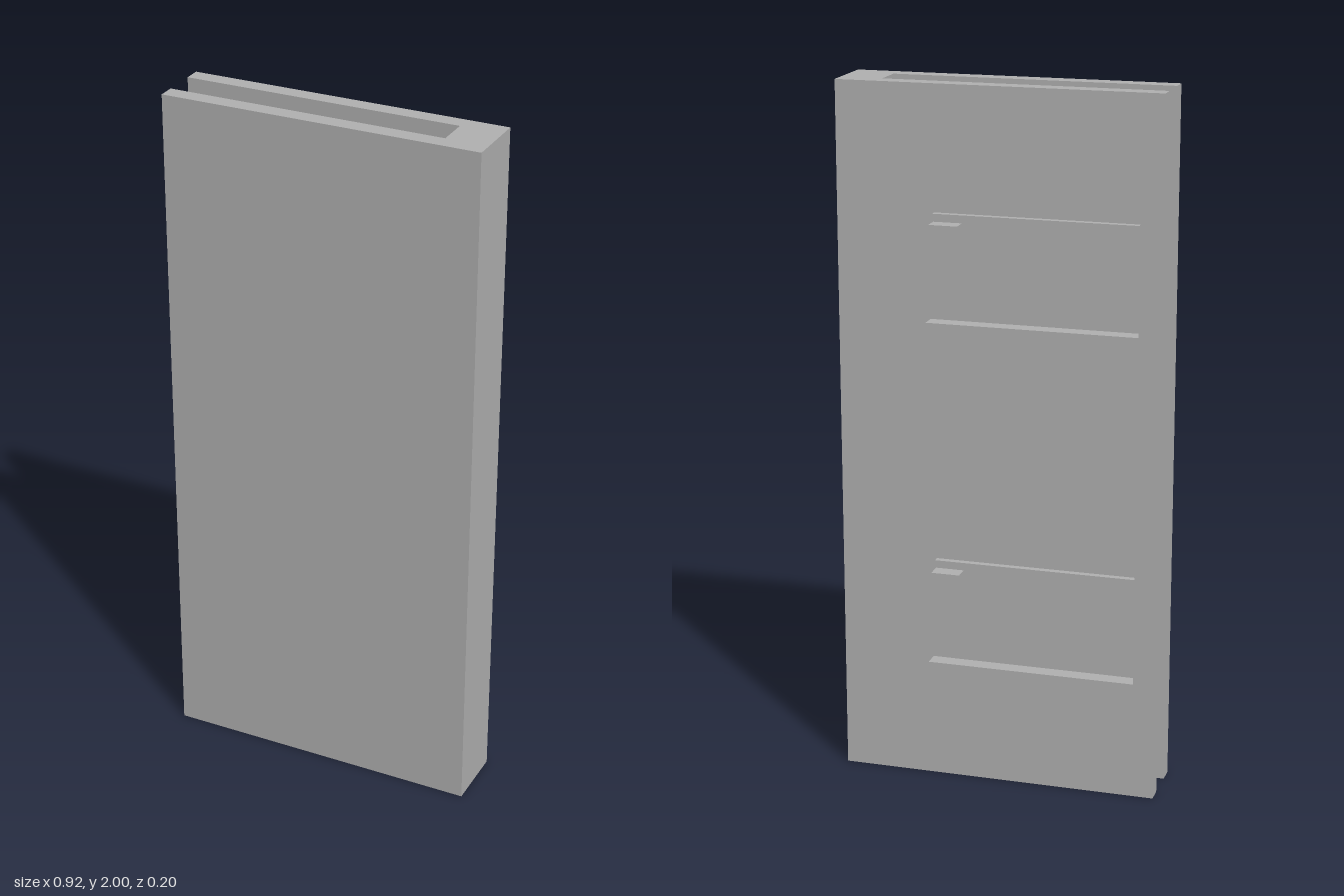
import * as THREE from 'three';
import { toCreasedNormals } from 'three/addons/utils/BufferGeometryUtils.js';
import { ConvexGeometry } from 'three/addons/geometries/ConvexGeometry.js';

const W = 0.458;                          // half width
const BACK = -0.086, BACK_IN = -0.039;    // back plate faces
const FRONT_IN = 0.054, FRONT = 0.102;    // front plate faces
const CLIPS = [0.5, 1.5];                 // clip heights

export function createModel() {
  const model = new THREE.Group();
  const grey = new THREE.MeshStandardMaterial({ color: 0xb2b2b2 });
  grey.name = 'grey plastic';

  const add = (name, geometry, parent = model) => {
    const mesh = new THREE.Mesh(geometry, grey);
    mesh.name = name;
    parent.add(mesh);
    return mesh;
  };
  // Box given by its limits on each axis
  const box = (name, x0, x1, y0, y1, z0, z1, parent) =>
    add(name, new THREE.BoxGeometry(x1 - x0, y1 - y0, z1 - z0), parent)
      .position.set((x0 + x1) / 2, (y0 + y1) / 2, (z0 + z1) / 2);
  const rect = (path, x0, x1, y0, y1) =>
    path.moveTo(x0, y0).lineTo(x1, y0).lineTo(x1, y1).lineTo(x0, y1).closePath();

  // U-shaped channel: front plate, closed end, back plate with windows
  box('frontPlate', -W, W, 0, 2, FRONT_IN, FRONT);
  box('closedEnd', 0.338, W, 0, 2, BACK_IN, FRONT_IN);
  const plate = new THREE.Shape();
  rect(plate, -W, W, 0, 2);
  for (const y of CLIPS) {
    const hole = new THREE.Path();
    rect(hole, -0.396, 0.206, y - 0.16, y + 0.16);
    plate.holes.push(hole);
  }
  add('backPlate', new THREE.ExtrudeGeometry(plate, { depth: BACK_IN - BACK, bevelEnabled: false }))
    .position.z = BACK;

  // Round peg with a 45 degree ramp towards the open side
  const cx = 0.057, r = 0.1;
  const start = Math.acos((0.021 - cx) / r), crease = Math.acos((0.12 - cx) / r);
  const points = [];
  const arc = (a, b, n) => {
    for (let i = 0; i < n; i++) {
      const t = a + (b - a) * i / n;
      const x = cx + r * Math.cos(t), y = r * Math.sin(t);
      points.push(new THREE.Vector3(x, y, -0.05));
      points.push(new THREE.Vector3(x, y, Math.min(FRONT_IN, x - 0.066)));
    }
  };
  arc(-start, -crease, 12);
  arc(-crease, crease, 20);
  arc(crease, start, 12);
  arc(start, start + 1, 1);
  const pegGeometry = toCreasedNormals(new ConvexGeometry(points), 0.4);

  // Flexible tongue with a grip outside and a peg inside
  for (const y of CLIPS) {
    const clip = new THREE.Group();
    clip.name = 'springClip';
    clip.position.y = y;
    model.add(clip);
    box('tongue', -0.396, 0.194, -0.14, 0.14, -0.058, BACK_IN, clip);
    box('grip', 0.108, 0.19, -0.118, 0.118, -0.103, -0.058, clip);
    add('rampedPeg', pegGeometry, clip);
  }
  return model;
}
